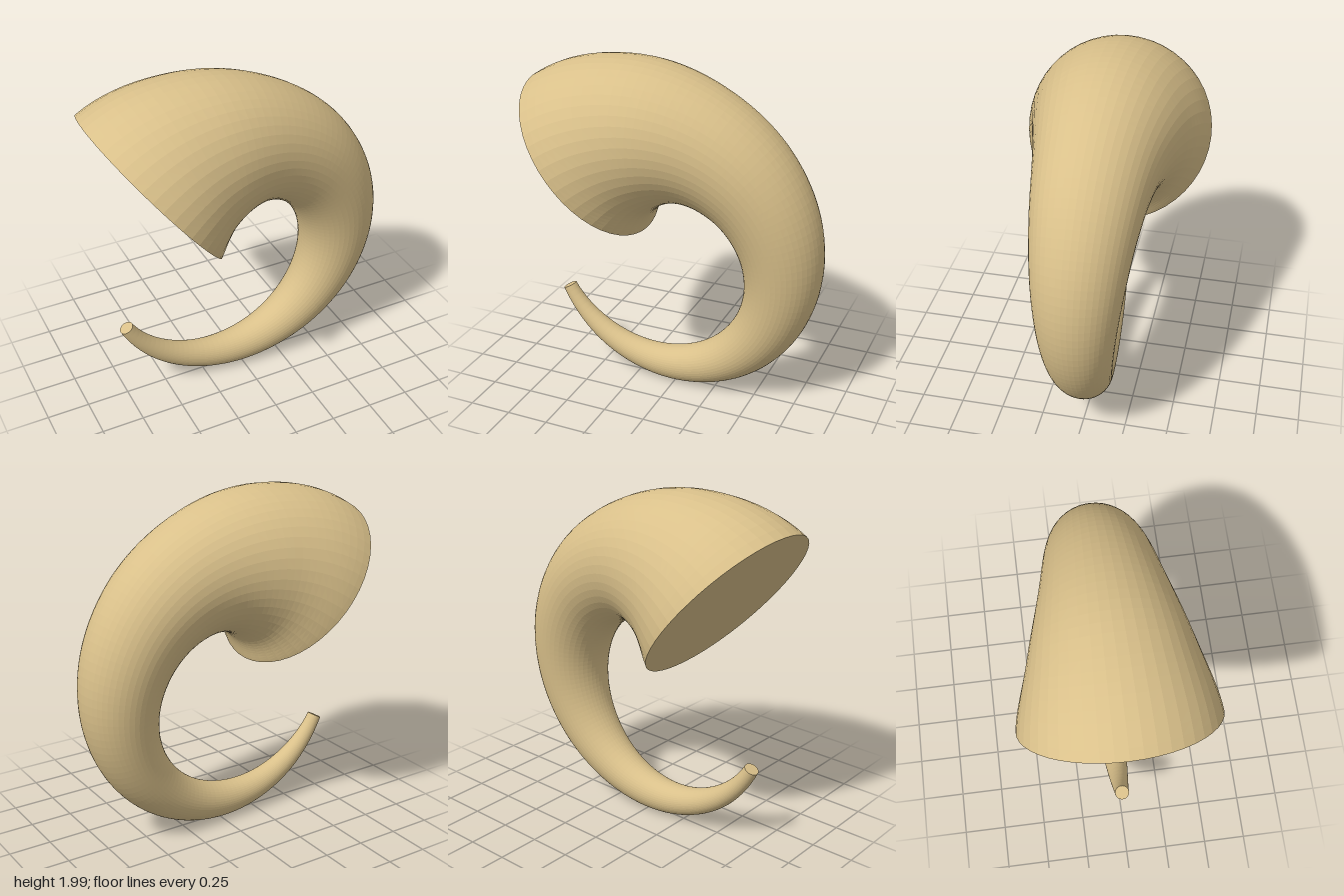
import * as THREE from 'three';

// Horn radius at equal steps from the thin tip to the wide base
const RADII = [0.042, 0.067, 0.095, 0.127, 0.166, 0.207, 0.25, 0.295, 0.352, 0.449, 0.55];
const CENTRE = { x: -0.083, y: 0.84 };
const BEND = 0.73;
const TIP_ANGLE = THREE.MathUtils.degToRad(-152);
const BASE_ANGLE = THREE.MathUtils.degToRad(128.3);

// Bend a capped unit cylinder round an arc, swelling it along the way
function hornGeometry() {
  const taper = new THREE.SplineCurve(RADII.map((r, i) => new THREE.Vector2(i, r)));
  const geometry = new THREE.CylinderGeometry(1, 1, 1, 48, 96);
  const pos = geometry.attributes.position;
  for (let i = 0; i < pos.count; i++) {
    const t = THREE.MathUtils.clamp(pos.getY(i) + 0.5, 0, 1);
    const radius = taper.getPoint(t).y;
    const angle = THREE.MathUtils.lerp(TIP_ANGLE, BASE_ANGLE, t);
    const reach = BEND + pos.getX(i) * radius;
    pos.setXYZ(
      i,
      CENTRE.x + reach * Math.cos(angle),
      CENTRE.y + reach * Math.sin(angle),
      pos.getZ(i) * radius
    );
  }
  geometry.computeVertexNormals();
  return geometry;
}

export function createModel() {
  const group = new THREE.Group();
  group.name = 'curledHorn';
  const material = new THREE.MeshStandardMaterial({ color: 0xd9c08a, flatShading: true });
  const horn = new THREE.Mesh(hornGeometry(), material);
  horn.name = 'horn';
  group.add(horn);
  return group;
}
